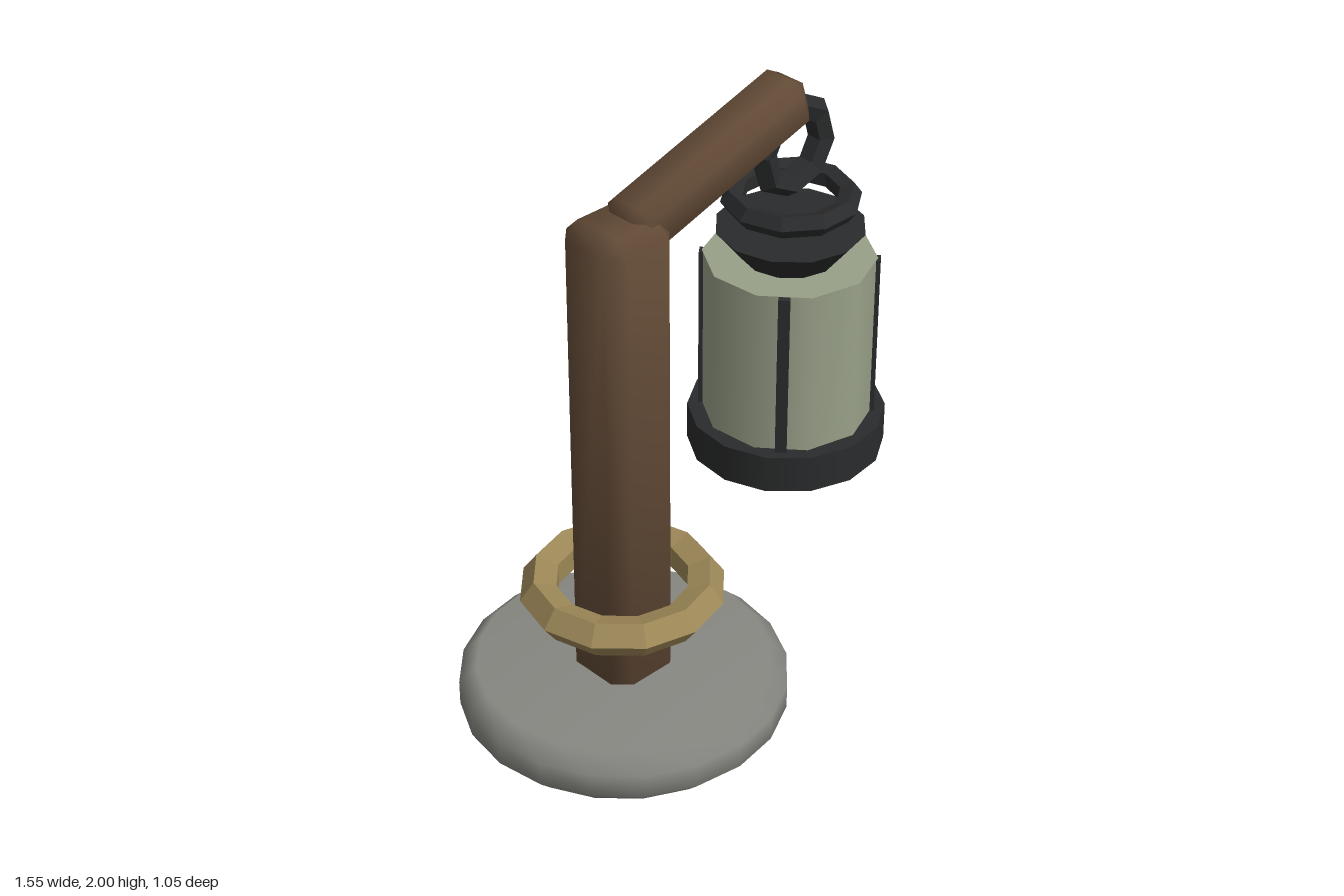
import * as THREE from 'three';
import { ConvexGeometry } from 'three/addons/geometries/ConvexGeometry.js';

const material = (name, color) => {
  const m = new THREE.MeshStandardMaterial({ color });
  m.name = name;
  return m;
};

// Box with one chamfer on every edge and softly blended normals
function chamferBox(w, h, d, c) {
  const half = [w / 2, h / 2, d / 2];
  const points = [];
  for (let axis = 0; axis < 3; axis++)
    for (const sx of [-1, 1]) for (const sy of [-1, 1]) for (const sz of [-1, 1]) {
      const p = [sx, sy, sz].map((s, i) => s * (half[i] - (i === axis ? 0 : c)));
      points.push(new THREE.Vector3(...p));
    }
  const g = new ConvexGeometry(points);
  const pos = g.attributes.position;
  for (let i = 0; i < pos.count; i++) {
    const p = [pos.getX(i), pos.getY(i), pos.getZ(i)];
    const n = p.map((v, k) => Math.sign(v) * (Math.abs(v) > half[k] - c / 2 ? 0.87 : 0.34));
    g.attributes.normal.setXYZ(i, ...n);
  }
  return g;
}

// Faceted ring with a five-sided section
function facetRing(radius, tube, sides) {
  const g = new THREE.TorusGeometry(radius, tube, 5, sides).toNonIndexed();
  g.computeVertexNormals();
  return g;
}

export function createModel() {
  const wood = material('brown wood', 0x624a36);
  const stone = material('grey stone', 0x878782);
  const brass = material('dull gold', 0x9c8757);
  const iron = material('black iron', 0x2a2b2c);
  const glass = material('pale glass', 0x98a088);

  const model = new THREE.Group();
  model.name = 'lanternPost';
  const add = (name, geometry, mat, x, y, z, parent = model) => {
    const mesh = new THREE.Mesh(geometry, mat);
    mesh.name = name;
    mesh.position.set(x, y, z);
    parent.add(mesh);
    return mesh;
  };

  // Stone foot: rounded twenty-sided disc
  const postX = -0.257;
  const profile = [[0, 0], [0.468, 0], [0.523, 0.055], [0.523, 0.138], [0.468, 0.19], [0, 0.19]];
  add('stoneFoot', new THREE.LatheGeometry(profile.map((p) => new THREE.Vector2(...p)), 20), stone, postX, 0, 0);

  // Post, sloping arm and the loose ring around the post
  add('post', chamferBox(0.258, 1.67, 0.26, 0.05), wood, postX, 0.935, 0);
  add('arm', chamferBox(0.727, 0.18, 0.18, 0.042), wood, 0.1125, 1.82, 0).rotation.z = 0.3;
  add('postRing', facetRing(0.261, 0.064, 12), brass, postX, 0.466, 0).rotation.x = -Math.PI / 2;

  // Hanging lantern
  const lantern = new THREE.Group();
  lantern.name = 'lantern';
  lantern.position.x = 0.46;
  model.add(lantern);

  add('hangingRing', facetRing(0.128, 0.043, 8), iron, 0, 1.745, 0, lantern).rotation.z = -0.1;
  add('collarRing', facetRing(0.181, 0.038, 10), iron, 0, 1.566, 0, lantern).rotation.x = -Math.PI / 2;
  add('flaredCap', new THREE.CylinderGeometry(0.235, 0.145, 0.11, 12), iron, 0, 1.415, 0, lantern);
  add('glassBody', new THREE.CylinderGeometry(0.272, 0.272, 0.56, 10), glass, 0, 1.087, 0, lantern).rotation.y = 0.08;
  add('baseTray', new THREE.CylinderGeometry(0.315, 0.315, 0.126, 14), iron, 0, 0.752, 0, lantern).rotation.y = -0.1;

  // Four upright bars
  for (let i = 0; i < 4; i++) {
    const a = 0.71 + (i * Math.PI) / 2;
    const bar = add('upright' + (i + 1), new THREE.BoxGeometry(0.036, 0.56, 0.036), iron,
      0.262 * Math.sin(a), 1.086, 0.262 * Math.cos(a), lantern);
    bar.rotation.y = a;
  }
  return model;
}
